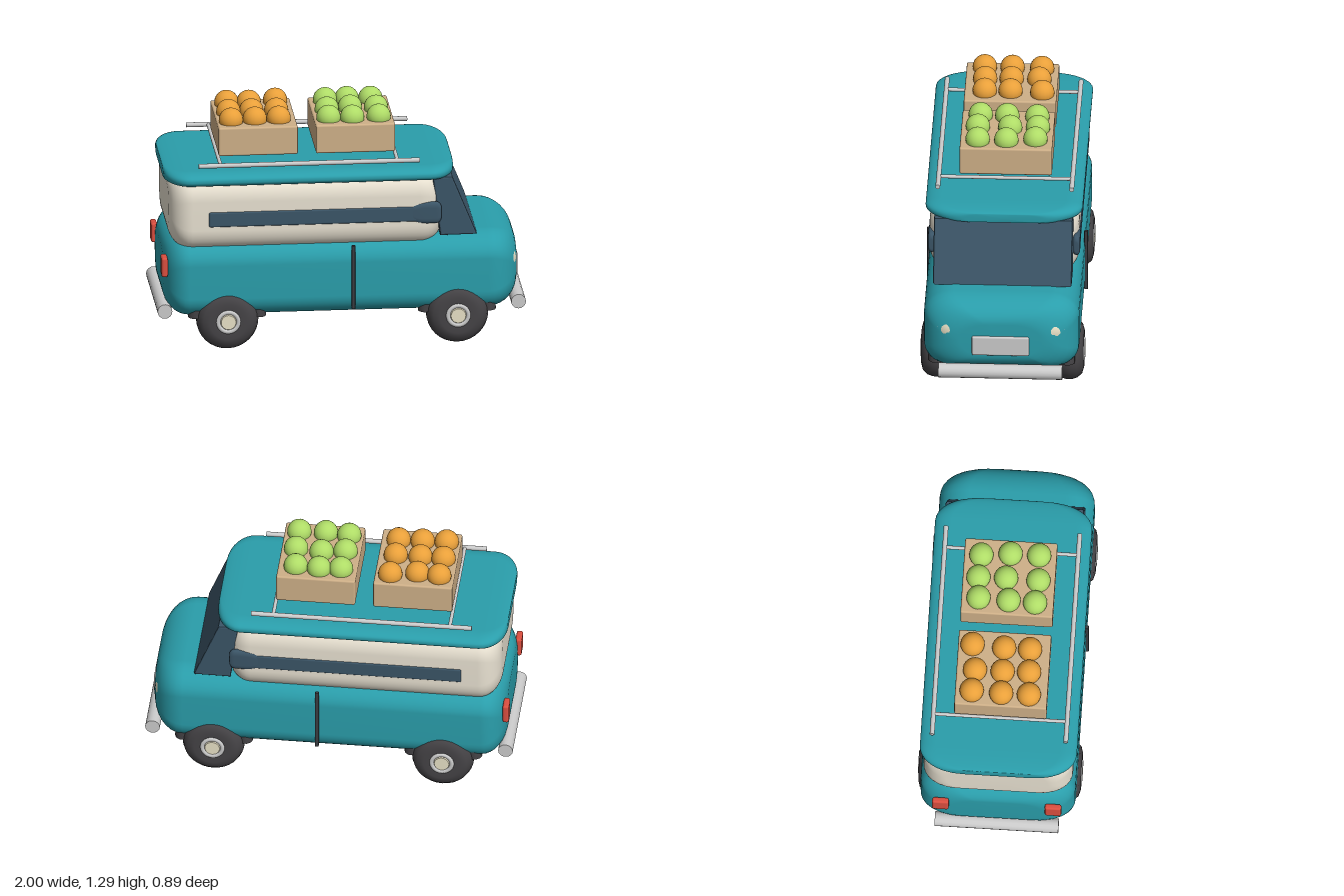
import * as THREE from 'three';
import { RoundedBoxGeometry } from 'three/addons/geometries/RoundedBoxGeometry.js';

const mat = (color, extra = {}) => new THREE.MeshStandardMaterial({ color, ...extra });
const M = {
  teal: mat(0x2a9eab), cream: mat(0xe9e2d2), glass: mat(0x3b5567), rubber: mat(0x454346),
  grey: mat(0xcccccc), wood: mat(0xcfb088), orange: mat(0xe9a03a), green: mat(0xafdc67),
  red: mat(0xdc4f40), dark: mat(0x3a3d42), lens: mat(0xe8e1c6),
};

function add(parent, name, geometry, material, x = 0, y = 0, z = 0) {
  const mesh = new THREE.Mesh(geometry, material);
  mesh.name = name;
  mesh.position.set(x, y, z);
  parent.add(mesh);
  return mesh;
}

// Rounded hull along x: rounded-rectangle sections that shrink towards both ends.
// ends: [length, side inset, top inset, bottom inset]; corners: [width, height]
function hull({ x, w, y, top, bottom, back, front }) {
  const stations = [];
  const END = 8, ARC = 8;
  const station = (end, t, dir) => {
    const s = 1 - Math.cos(t);
    stations.push({
      x: (dir > 0 ? x[1] : x[0]) - dir * end[0] * (1 - Math.sin(t)),
      w: w - end[1] * s, y0: y[0] + end[3] * s, y1: y[1] - end[2] * s,
    });
  };
  for (let i = END; i >= 0; i--) station(back, (i / END) * Math.PI / 2, -1);
  for (let i = 0; i <= END; i++) station(front, (i / END) * Math.PI / 2, 1);

  const pos = [], index = [], n = 4 * (ARC + 1);
  for (const s of stations) {
    const half = (s.y1 - s.y0) / 2;
    for (let q = 0; q < 4; q++) {
      const [cw, ch] = q < 2 ? top : bottom;
      const rw = Math.min(cw, s.w * 0.95), rh = Math.min(ch, half * 0.95);
      const sz = q === 0 || q === 3 ? 1 : -1;
      const cy = q < 2 ? s.y1 - rh : s.y0 + rh;
      for (let k = 0; k <= ARC; k++) {
        const a = (q + k / ARC) * Math.PI / 2;
        pos.push(s.x, cy + rh * Math.sin(a), sz * (s.w - rw) + rw * Math.cos(a));
      }
    }
  }
  const last = stations.length - 1;
  for (let i = 0; i < last; i++) {
    for (let j = 0; j < n; j++) {
      const a = i * n + j, c = i * n + (j + 1) % n, b = a + n, d = c + n;
      index.push(a, b, c, b, d, c);
    }
  }
  // end caps
  for (const [i, flip] of [[0, false], [last, true]]) {
    const s = stations[i], centre = pos.length / 3;
    pos.push(s.x, (s.y0 + s.y1) / 2, 0);
    for (let j = 0; j < n; j++) {
      const a = i * n + j, b = i * n + (j + 1) % n;
      index.push(centre, flip ? b : a, flip ? a : b);
    }
  }
  const g = new THREE.BufferGeometry();
  g.setAttribute('position', new THREE.Float32BufferAttribute(pos, 3));
  g.setIndex(index);
  g.computeVertexNormals();
  return g;
}

function bar(parent, name, length, radius, axis, x, y, z) {
  const g = new THREE.CylinderGeometry(radius, radius, length, 16);
  if (axis === 'x') g.rotateZ(Math.PI / 2);
  else g.rotateX(Math.PI / 2);
  return add(parent, name, g, M.grey, x, y, z);
}

// Wheel facing +z, centred on its axle
function wheel() {
  const g = new THREE.Group();
  const profile = [[0, -0.07], [0.06, -0.075], [0.1, -0.08], [0.135, -0.07], [0.158, -0.045], [0.168, -0.015],
    [0.168, 0.015], [0.158, 0.045], [0.135, 0.07], [0.1, 0.08], [0.06, 0.075], [0, 0.07]];
  const tyre = new THREE.LatheGeometry(profile.map(p => new THREE.Vector2(...p)), 32);
  add(g, 'tyre', tyre.rotateX(Math.PI / 2), M.rubber);
  add(g, 'hubRing', new THREE.TorusGeometry(0.055, 0.013, 10, 28), M.grey, 0, 0, 0.072);
  const cap = new THREE.CylinderGeometry(0.04, 0.05, 0.02, 20).rotateX(Math.PI / 2);
  add(g, 'hubCap', cap, M.lens, 0, 0, 0.074);
  return g;
}

function crate(parent, name, x, fruitMaterial, fruits) {
  const g = new THREE.Group();
  g.name = name;
  g.position.set(x, 0, 0);
  add(g, 'crateBox', new RoundedBoxGeometry(0.43, 0.16, 0.5, 2, 0.01), M.wood, 0, 1.13, 0);
  const ball = new THREE.SphereGeometry(0.066, 20, 14);
  for (const [fx, fz] of fruits) add(g, 'fruit', ball, fruitMaterial, fx, 1.225, fz);
  parent.add(g);
}

export function createModel() {
  const van = new THREE.Group();
  van.name = 'van';

  // Body shells
  add(van, 'lowerBody', hull({
    x: [-0.96, 0.96], w: 0.42, y: [0.185, 0.61], top: [0.16, 0.13], bottom: [0.1, 0.11],
    back: [0.13, 0.17, 0.1, 0.1], front: [0.17, 0.2, 0.12, 0.12],
  }), M.teal);
  add(van, 'upperBody', hull({
    x: [-0.935, 0.54], w: 0.405, y: [0.56, 0.95], top: [0.07, 0.11], bottom: [0.09, 0.12],
    back: [0.12, 0.13, 0.07, 0.09], front: [0.12, 0.1, 0.07, 0.07],
  }), M.cream);
  add(van, 'roof', hull({
    x: [-0.96, 0.615], w: 0.425, y: [0.928, 1.0], top: [0.09, 0.04], bottom: [0.05, 0.03],
    back: [0.14, 0.2, 0.016, 0.005], front: [0.14, 0.22, 0.02, 0.005],
  }), M.teal);

  // Windscreen block
  const screen = new THREE.Shape([[0.5, 0.93], [0.59, 0.93], [0.72, 0.615], [0.54, 0.615]]
    .map(p => new THREE.Vector2(...p)));
  const screenGeo = new THREE.ExtrudeGeometry(screen,
    { depth: 0.73, bevelThickness: 0.01, bevelSize: 0.01, bevelSegments: 2 });
  add(van, 'windscreen', screenGeo, M.glass, 0, 0, -0.365);

  for (const s of [1, -1]) {
    // Side window band, swelling at its front end
    add(van, 'sideWindow', new RoundedBoxGeometry(1.2, 0.088, 0.03, 2, 0.012), M.glass, -0.13, 0.742, s * 0.395);
    add(van, 'sideWindowEnd', hull({
      x: [0.36, 0.535], w: 0.02, y: [0.685, 0.805], top: [0.015, 0.03], bottom: [0.015, 0.03],
      back: [0.09, 0.005, 0.04, 0.04], front: [0.03, 0.01, 0.03, 0.03],
    }), M.glass, 0, 0, s * 0.392);

    add(van, 'doorSeam', new RoundedBoxGeometry(0.02, 0.36, 0.02, 2, 0.004), M.dark, 0.055, 0.4, s * 0.425);

    // Wheels with arches
    for (const x of [-0.625, 0.623]) {
      const w = wheel();
      w.name = 'wheel';
      w.position.set(x, 0.168, s * 0.36);
      if (s < 0) w.rotation.y = Math.PI;
      van.add(w);
      add(van, 'wheelArch', new THREE.TorusGeometry(0.17, 0.042, 10, 20, Math.PI), M.rubber, x, 0.178, s * 0.355);
    }

    // Headlights
    const ring = add(van, 'headlightRing', new THREE.TorusGeometry(0.062, 0.014, 10, 28), M.grey, 0.918, 0.435, s * 0.278);
    const lens = add(van, 'headlightLens', new THREE.SphereGeometry(0.066, 24, 16), M.lens, 0.918, 0.435, s * 0.274);
    lens.scale.z = 0.5;
    ring.rotation.y = lens.rotation.y = Math.PI / 2 - s * 0.15;

    add(van, 'tailLight', new RoundedBoxGeometry(0.034, 0.11, 0.09, 2, 0.012), M.red, -0.962, 0.458, s * 0.305);
    bar(van, 'bumper', 0.67, 0.04, 'z', s * 0.96, 0.205, 0);

    // Roof rack rails
    bar(van, 'rackRail', 1.2, 0.013, 'x', -0.18, 1.035, s * 0.362);
  }
  bar(van, 'rackCrossbar', 0.72, 0.01, 'z', -0.66, 1.035, 0);
  bar(van, 'rackCrossbar', 0.72, 0.01, 'z', 0.3, 1.035, 0);

  add(van, 'frontPlate', new RoundedBoxGeometry(0.03, 0.115, 0.31, 2, 0.01), M.grey, 0.958, 0.363, 0);

  // Fruit crates
  crate(van, 'orangeCrate', -0.445, M.orange, [
    [-0.135, -0.16], [-0.015, -0.15], [0.13, -0.172], [-0.14, 0], [-0.015, 0], [0.12, 0],
    [-0.14, 0.15], [-0.01, 0.143], [0.12, 0.14]]);
  crate(van, 'greenCrate', 0.083, M.green, [
    [-0.128, -0.157], [-0.01, -0.165], [0.118, -0.157], [-0.134, 0.006], [-0.006, -0.015], [0.134, 0],
    [-0.138, 0.15], [-0.01, 0.16], [0.134, 0.155]]);

  return van;
}
